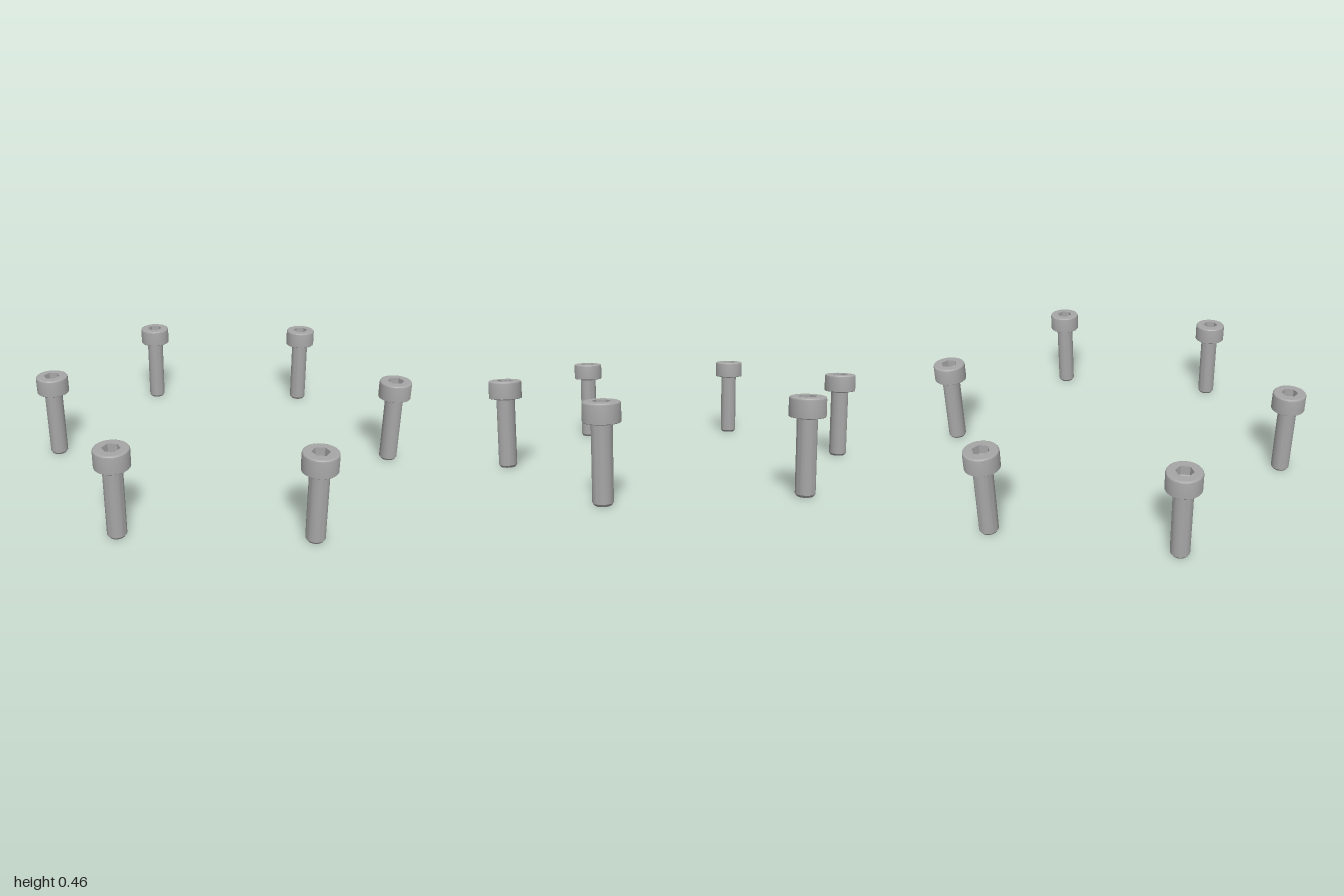
import * as THREE from 'three';
import { toCreasedNormals } from 'three/addons/utils/BufferGeometryUtils.js';

const HEIGHT = 0.462, HEX_R = 0.043, RIM_R = 0.076, HEX_TURN = Math.PI / 6;
const points = (list) => list.map(([r, y]) => new THREE.Vector2(r, y));

// Turned part with crisp edges between its bands
function turned(profile, sides = 40) {
  return toCreasedNormals(new THREE.LatheGeometry(points(profile), sides), 0.4);
}

// Flat annulus on top of the head with a hexagonal opening
function headTopGeometry() {
  const shape = new THREE.Shape().absarc(0, 0, RIM_R, 0, Math.PI * 2);
  const hex = [];
  for (let i = 0; i < 6; i++) {
    const a = HEX_TURN + i * Math.PI / 3;
    hex.push(new THREE.Vector2(HEX_R * Math.sin(a), -HEX_R * Math.cos(a)));
  }
  shape.holes.push(new THREE.Path(hex));
  return new THREE.ShapeGeometry(shape, 20).rotateX(-Math.PI / 2).translate(0, HEIGHT, 0);
}

export function createModel() {
  const model = new THREE.Group();
  model.name = 'boltCircle';
  const steel = new THREE.MeshStandardMaterial({ color: 0xa6a6a6 });
  steel.name = 'steel grey';

  const parts = {
    // Shank with chamfered tip and small fillet under the head
    shank: turned([[0, 0], [0.039, 0], [0.0475, 0.012], [0.0475, 0.362], [0.052, 0.37]]),
    // Cap head with rounded upper edge
    head: turned([[0.05, 0.37], [0.083, 0.37], [0.085, 0.372], [0.085, 0.45],
      [0.0838, 0.456], [0.081, 0.46], [RIM_R, HEIGHT]]),
    headTop: headTopGeometry(),
    // Hex socket with straight walls and a pointed floor
    socket: toCreasedNormals(new THREE.LatheGeometry(
      points([[HEX_R, HEIGHT], [HEX_R, 0.417], [0, 0.396]]), 6, HEX_TURN), 0.1),
  };

  // Six bolts evenly spaced around the circle
  for (let i = 0; i < 6; i++) {
    const angle = 0.149 + i * Math.PI / 3;
    const bolt = new THREE.Group();
    bolt.name = `bolt${i + 1}`;
    for (const [name, geometry] of Object.entries(parts)) {
      const mesh = new THREE.Mesh(geometry, steel);
      mesh.name = name;
      bolt.add(mesh);
    }
    bolt.position.set(0.9245 * Math.cos(angle), 0, 0.9245 * Math.sin(angle));
    bolt.rotation.y = -angle;
    model.add(bolt);
  }
  return model;
}
